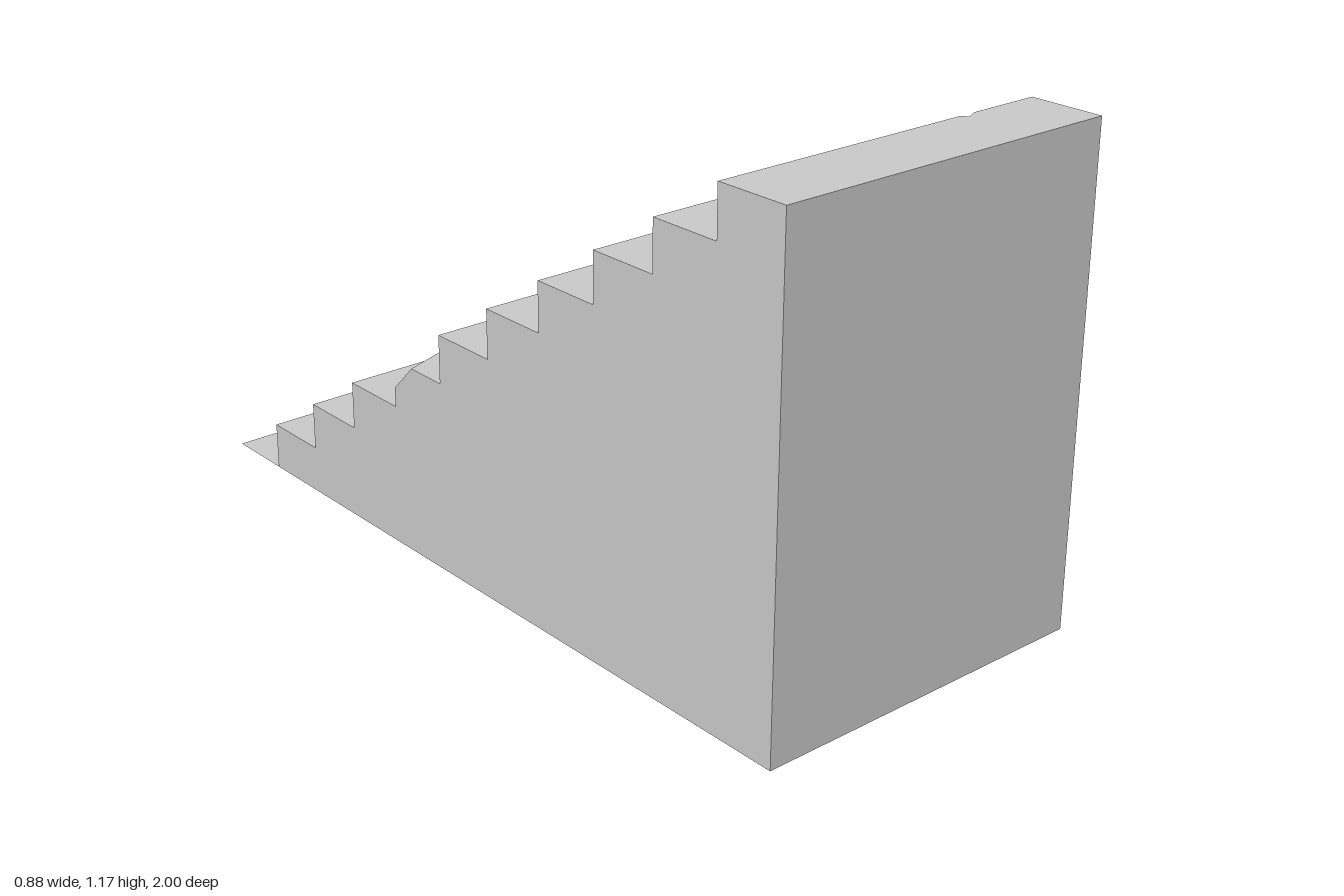
import * as THREE from 'three';

const W = 0.44, STEPS = 10, H = 0.1175, RUN = 2 / 11;
const zOf = k => -1 + RUN * k; // plane of riser k (1..STEPS)

// Broken nosings: tread outline [x, depth back], riser outline [x, drop down], hollow depth
const chips = [
  { k: 1, tread: [[0.26, 0], [W, 0.12]], riser: [[0.26, 0], [W, 0.116]], dent: 0 },
  { k: 4, tread: [[-W, 0.07], [-0.25, 0]], riser: [[-W, 0.07], [-0.25, 0]], dent: 0 },
  { k: 4, tread: [[0, 0], [0.02, 0.055], [0.28, 0.035], [0.43, 0]], riser: [[0, 0], [0.13, 0.114], [0.43, 0]], dent: 0 },
  { k: 7, tread: [[-0.16, 0], [-0.105, 0.035], [-0.09, 0]], riser: [[-0.16, 0], [-0.155, 0.112], [-0.1, 0.112], [-0.09, 0]], dent: 0.02 },
  { k: 7, tread: [[0.39, 0], [W, 0.055]], riser: [[0.39, 0], [W, 0.05]], dent: 0 },
  { k: 9, tread: [[-0.28, 0], [-0.16, 0.02], [-0.15, 0]], riser: [[-0.28, 0], [-0.22, 0.06], [-0.15, 0]], dent: 0 },
  { k: 10, tread: [[0.22, 0], [0.23, 0.015], [0.26, 0]], riser: [[0.22, 0], [0.24, 0.09], [0.26, 0]], dent: 0 },
];

// Cracks at the foot of riser k: riser outline [x, rise], outline on the tread below [x, reach]
const cracks = [
  { k: 2, riser: [[0.07, 0], [0.1, 0.08], [0.14, 0]], tread: [[0.07, 0], [-0.26, 0.178], [0.14, 0]], dent: 0.06 },
  { k: 8, riser: [[-0.01, 0], [0.04, 0.05], [0.1, 0]], tread: [[-0.01, 0], [0, 0.04], [0.1, 0]], dent: 0.025 },
];

const material = new THREE.MeshStandardMaterial({ color: 0xcccccc, flatShading: true });

function addMesh(group, name, geometry, mat = material) {
  const mesh = new THREE.Mesh(geometry, mat);
  mesh.name = name;
  group.add(mesh);
}

// Flat panel from an outline, placed in space by a (u, v) => [x, y, z] rule
function panel(outline, place) {
  const geo = new THREE.ShapeGeometry(new THREE.Shape(outline.map(p => new THREE.Vector2(...p))));
  const pos = geo.attributes.position;
  for (let i = 0; i < pos.count; i++) pos.setXYZ(i, ...place(pos.getX(i), pos.getY(i)));
  geo.computeVertexNormals();
  return geo;
}

// Faceted hollow: a fan from a closed loop to a point sunk into the stair
function hollow(loop, dent) {
  const apex = [0, 1, 2].map(a => loop.reduce((s, p) => s + p[a], 0) / loop.length);
  apex[1] -= dent;
  apex[2] += dent;
  const verts = loop.flatMap((p, i) => [p, loop[(i + 1) % loop.length], apex]).flat();
  const geo = new THREE.BufferGeometry();
  geo.setAttribute('position', new THREE.Float32BufferAttribute(verts, 3));
  geo.computeVertexNormals();
  return geo;
}

// Full-width edge line including the damage on it
function edge(list, k, key) {
  const pts = list.filter(d => d.k === k).flatMap(d => d[key]);
  if (!pts.length || pts[0][0] > -W) pts.unshift([-W, 0]);
  if (pts[pts.length - 1][0] < W) pts.push([W, 0]);
  return pts;
}

// Stepped side wall, with any broken corners cut away
function sideWall(side) {
  const profile = [[1, 0]];
  for (let k = STEPS; k >= 1; k--) {
    const at = key => edge(chips, k, key).find(p => p[0] === side * W)[1];
    const back = k === STEPS ? 1 : zOf(k + 1);
    const depth = at('tread'), drop = at('riser');
    profile.push([back, k * H], [zOf(k) + depth, k * H]);
    if (depth) profile.push([zOf(k), k * H - drop]);
    profile.push([zOf(k), (k - 1) * H]);
  }
  return panel(profile.map(([z, y]) => [-side * z, y]), (u, v) => [side * W, v, -side * u]);
}

export function createModel() {
  const group = new THREE.Group();
  group.name = 'stairs';

  for (let k = 1; k <= STEPS; k++) {
    const z = zOf(k), y = k * H;
    // riser, facing -z
    const top = edge(chips, k, 'riser').map(([x, d]) => [-x, y - d]);
    const foot = edge(cracks, k, 'riser').map(([x, d]) => [-x, y - H + d]);
    addMesh(group, `riser${k}`, panel([...top, ...foot.reverse()], (u, v) => [-u, v, z]));
    // tread, facing up
    const back = k === STEPS ? 1 : zOf(k + 1);
    const front = edge(chips, k, 'tread').map(([x, d]) => [x, -(z + d)]);
    const rear = edge(cracks, k + 1, 'tread').map(([x, d]) => [x, -(back - d)]);
    addMesh(group, `tread${k}`, panel([...front, ...rear.reverse()], (u, v) => [u, y, -v]));
  }

  // broken nosings
  chips.forEach(({ k, tread, riser, dent }, i) => {
    const upper = tread.map(([x, d]) => [x, k * H, zOf(k) + d]);
    const lower = riser.map(([x, d]) => [x, k * H - d, zOf(k)]);
    addMesh(group, `chip${i + 1}`, hollow([...upper, ...lower.reverse()], dent));
  });

  // cracks in the inner corners
  cracks.forEach(({ k, tread, riser, dent }, i) => {
    const upper = riser.map(([x, d]) => [x, (k - 1) * H + d, zOf(k)]);
    const lower = tread.map(([x, d]) => [x, (k - 1) * H, zOf(k) - d]);
    addMesh(group, `crack${i + 1}`, hollow([...upper, ...lower.reverse()], dent));
  });

  addMesh(group, 'leftWall', sideWall(1));
  addMesh(group, 'rightWall', sideWall(-1));

  // tall end wall
  const end = new THREE.PlaneGeometry(2 * W, STEPS * H);
  addMesh(group, 'endWall', end.translate(0, STEPS * H / 2, 1));

  // floor sheet, reaching one step beyond the first riser
  const thin = material.clone();
  thin.side = THREE.DoubleSide;
  addMesh(group, 'floor', new THREE.PlaneGeometry(2 * W, 2).rotateX(Math.PI / 2), thin);

  return group;
}
